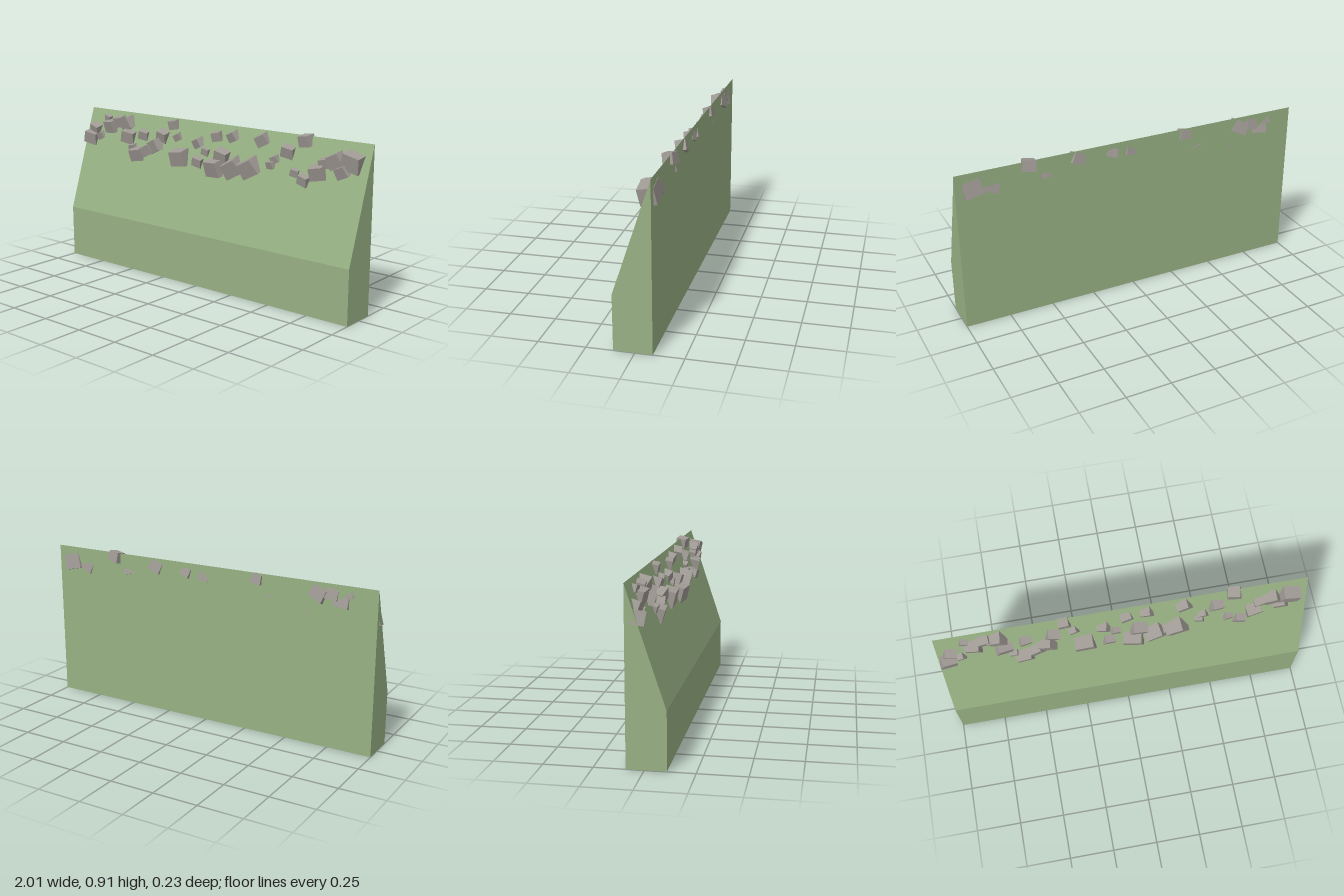
import * as THREE from 'three';

const grass = new THREE.MeshStandardMaterial({ color: 0x98b184 });
grass.name = 'grass green';
const stone = new THREE.MeshStandardMaterial({ color: 0x9f9994 });
stone.name = 'stone grey';

// z of the sloping bank at height y
const slopeZ = (y) => 0.11 - (y - 0.3) / 3;

// Wedge-shaped bank: side profile swept along x
function makeBank() {
  const profile = new THREE.Shape();
  profile.moveTo(-0.11, 0);
  profile.lineTo(0.09, 0);
  profile.lineTo(0.09, 0.9);
  profile.lineTo(-0.11, 0.3);
  profile.closePath();
  const geo = new THREE.ExtrudeGeometry(profile, { depth: 2, bevelEnabled: false });
  geo.rotateY(Math.PI / 2);
  geo.translate(-1, 0, 0);
  const bank = new THREE.Mesh(geo, grass);
  bank.name = 'bank';
  return bank;
}

// Box narrowed towards the top, leaning out of the bank
function makeRock(x, y, size, i) {
  const geo = new THREE.BoxGeometry(size * 1.1, size * 0.92, size * 0.9);
  const pos = geo.attributes.position;
  for (let k = 0; k < pos.count; k++) {
    pos.setX(k, pos.getX(k) * (1 - 0.07 * Math.sign(pos.getY(k))));
  }
  geo.computeVertexNormals();
  const rock = new THREE.Mesh(geo, stone);
  rock.name = `rock${i + 1}`;
  rock.position.set(x, y, slopeZ(y));
  const lean = 0.24 + 0.05 * Math.sin(i * 2.3);
  const yaw = 0.18 * Math.sin(i * 1.7);
  const roll = 0.12 + 0.4 * Math.sin(i * 2.1);
  rock.rotation.set(lean, yaw, roll);
  return rock;
}

// Rocks grouped by size, each placed at [x, y] on the slope
const rockSizes = [
  {
    size: 0.095,
    spots: [[-0.22, 0.695], [0.165, 0.685], [0.905, 0.805], [0.045, 0.67], [0.28, 0.7]],
  },
  {
    size: 0.077,
    spots: [
      [-0.95, 0.73], [-0.805, 0.81], [-0.675, 0.835], [-0.645, 0.765], [-0.55, 0.675],
      [-0.42, 0.735], [0.08, 0.735], [0.71, 0.73], [0.805, 0.8],
    ],
  },
  {
    size: 0.064,
    spots: [
      [-0.93, 0.78], [-0.745, 0.84], [-0.48, 0.705], [-0.38, 0.795], [0.22, 0.69],
      [0.325, 0.85], [0.505, 0.81], [0.6, 0.875], [0.855, 0.75],
    ],
  },
  {
    size: 0.055,
    spots: [
      [-0.53, 0.785], [-0.315, 0.865], [-0.11, 0.785], [-0.085, 0.685],
      [0.015, 0.835], [0.125, 0.845], [0.635, 0.68], [0.74, 0.78],
    ],
  },
  {
    size: 0.042,
    spots: [
      [-0.88, 0.745], [-0.845, 0.85], [-0.6, 0.705], [-0.27, 0.8],
      [-0.045, 0.745], [0.41, 0.73], [0.43, 0.76], [0.57, 0.71],
    ],
  },
];

export function createModel() {
  const model = new THREE.Group();
  model.name = 'rockyBank';
  model.add(makeBank());
  const rocks = new THREE.Group();
  rocks.name = 'rocks';
  for (const { size, spots } of rockSizes) {
    for (const [x, y] of spots) rocks.add(makeRock(x, y, size, rocks.children.length));
  }
  model.add(rocks);
  return model;
}
